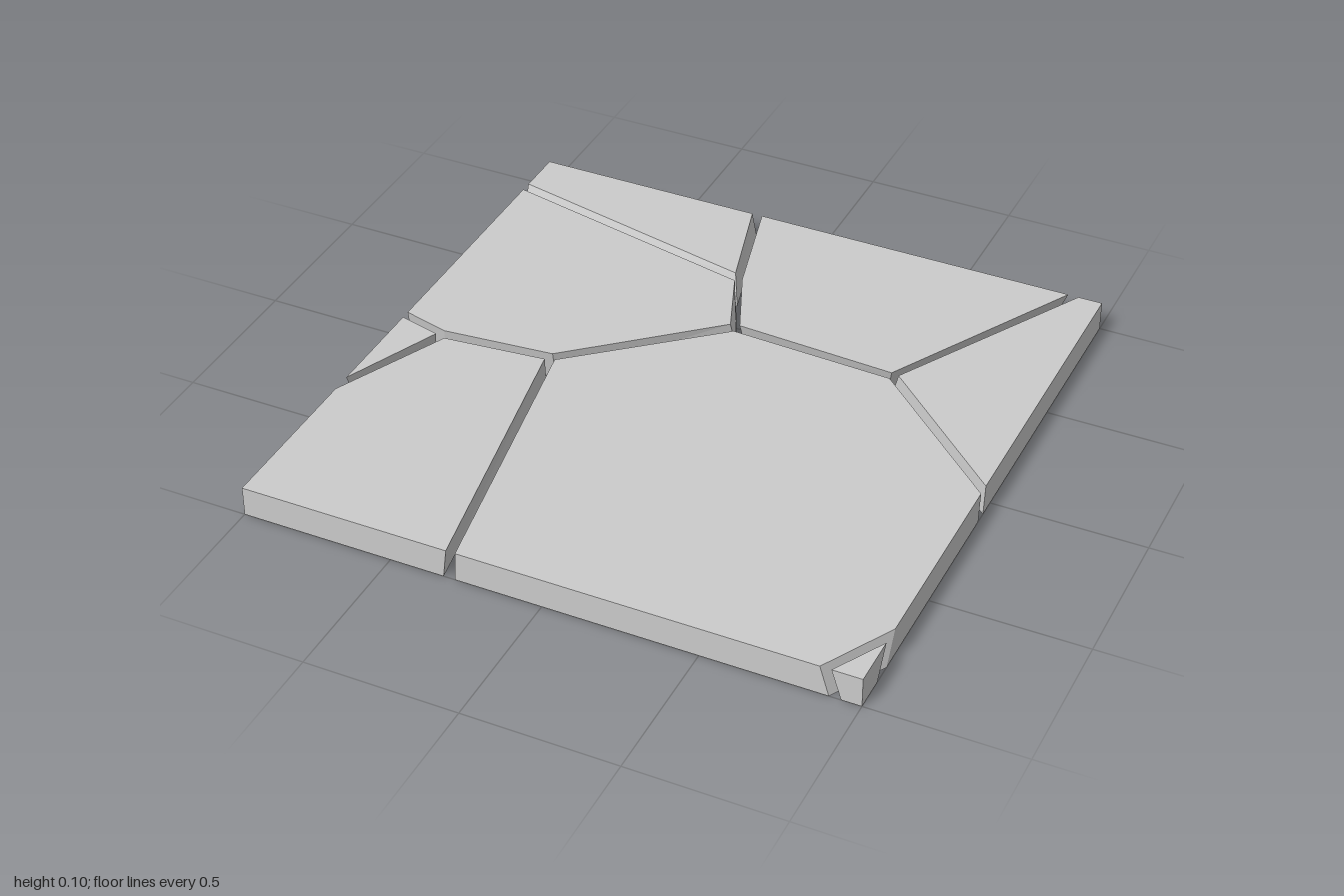
import * as THREE from 'three';

const HEIGHT = 0.1;

// Each piece: corners clockwise from above, as [topX, topZ, bottomX, bottomZ]
const PIECES = {
  backSlab: [
    [-0.2, -1, -0.18, -1], [0.885, -1, 0.845, -1], [0.53, -0.36, 0.51, -0.39],
    [-0.005, -0.39, 0.005, -0.415], [-0.105, -0.63, -0.09, -0.645],
  ],
  backLeftSlab: [
    [-1, -1, -1, -1], [-0.235, -1, -0.215, -1],
    [-0.14, -0.655, -0.115, -0.615], [-1, -0.843, -1, -0.802],
  ],
  rightSlab: [
    [0.92, -1, 0.88, -1], [1, -1, 1, -1], [1, 0.05, 1, 0.06], [0.555, -0.355, 0.53, -0.365],
  ],
  centreSlab: [
    [-0.01, -0.355, -0.01, -0.385], [0.535, -0.33, 0.525, -0.355], [1, 0.09, 1, 0.1],
    [1, 0.765, 1, 0.82], [0.87, 1, 0.9, 1], [-0.28, 1, -0.285, 1], [-0.455, 0.025, -0.47, 0.015],
  ],
  leftSlab: [
    [-1, -0.805, -1, -0.762], [-0.125, -0.615, -0.1, -0.575], [-0.035, -0.385, -0.02, -0.4],
    [-0.475, 0, -0.475, -0.015], [-0.845, 0.035, -0.85, 0.02], [-1, -0.005, -1, -0.02],
  ],
  frontLeftSlab: [
    [-1, 0.45, -1, 0.41], [-0.825, 0.07, -0.84, 0.055], [-0.485, 0.035, -0.49, 0.02],
    [-0.31, 1, -0.322, 1], [-1, 1, -1, 1],
  ],
  leftChip: [
    [-1, 0.025, -1, 0.015], [-0.86, 0.06, -0.875, 0.05], [-1, 0.385, -1, 0.345],
  ],
  frontRightChip: [
    [0.905, 1, 0.937, 1], [1, 0.83, 1, 0.888], [1, 1, 1, 1],
  ],
};

// Convex prism whose side walls lean between the top and bottom outlines
function slabGeometry(corners) {
  const top = corners.map(([x, z]) => [x, HEIGHT, z]);
  const bottom = corners.map(([, , x, z]) => [x, 0, z]);
  const positions = [];
  const tri = (a, b, c) => positions.push(...a, ...b, ...c);
  const n = corners.length;
  for (let i = 0; i < n; i++) {
    const j = (i + 1) % n;
    tri(top[i], top[j], bottom[j]);
    tri(top[i], bottom[j], bottom[i]);
    if (i > 0 && j > 0) {
      tri(top[0], top[j], top[i]);
      tri(bottom[0], bottom[i], bottom[j]);
    }
  }
  const geometry = new THREE.BufferGeometry();
  geometry.setAttribute('position', new THREE.Float32BufferAttribute(positions, 3));
  geometry.computeVertexNormals();
  return geometry;
}

export function createModel() {
  const group = new THREE.Group();
  group.name = 'crackedFloorTile';
  const material = new THREE.MeshStandardMaterial({ color: 0xcccccc, flatShading: true });
  for (const [name, corners] of Object.entries(PIECES)) {
    const mesh = new THREE.Mesh(slabGeometry(corners), material);
    mesh.name = name;
    group.add(mesh);
  }
  return group;
}
